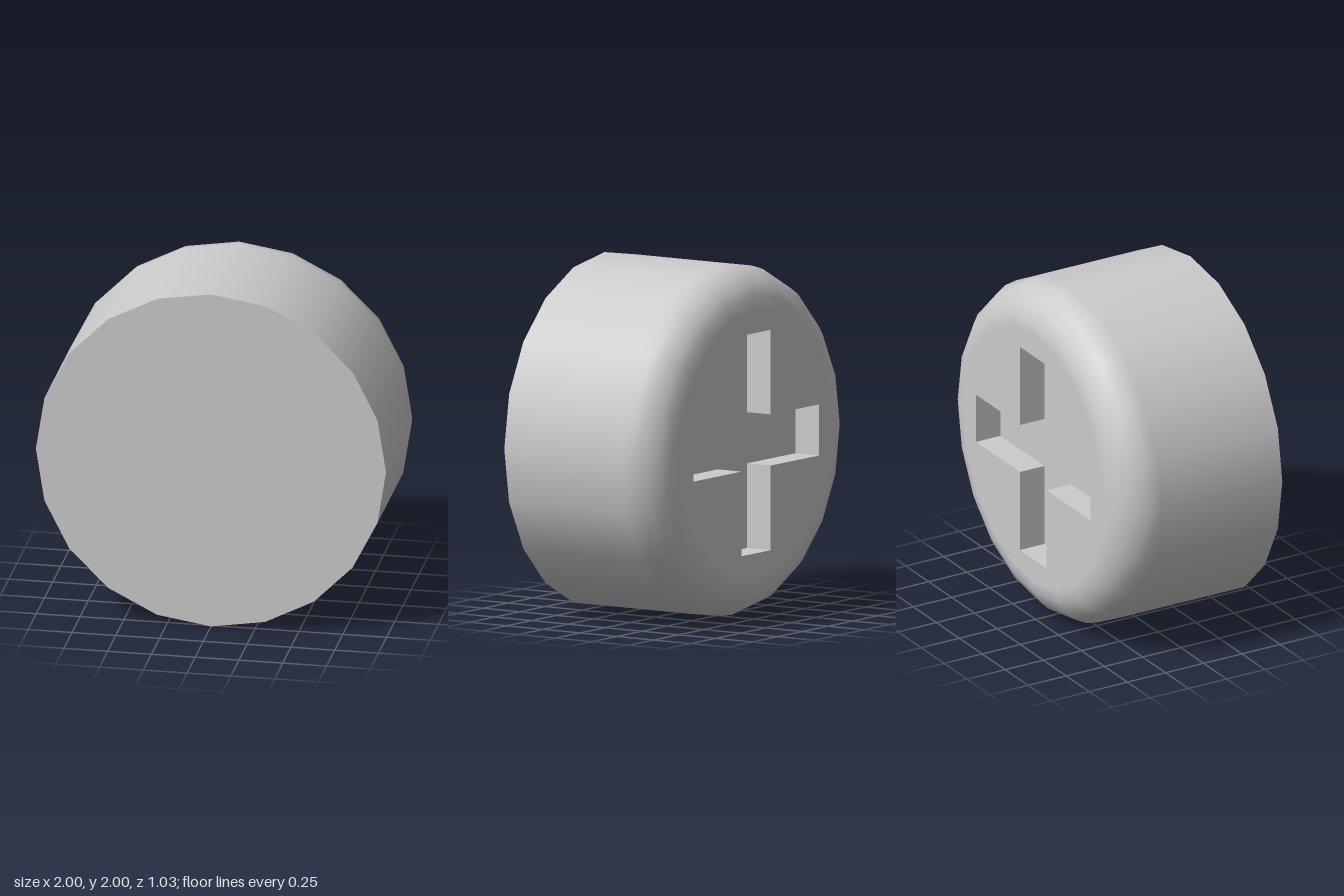
import * as THREE from 'three';

const SIDES = 20;
const FRONT = 0.515, BACK = -0.515; // z of the two end faces
const BEVEL = 0.24;                 // rounding radius of the back rim
const SLOT = { half: 0.625, width: 0.145, depth: 0.16 };

// Corners of the cross, counter-clockwise
function crossPoints() {
  const { half: a, width: w } = SLOT;
  return [
    [w, w], [w, a], [-w, a], [-w, w], [-a, w], [-a, -w],
    [-w, -w], [-w, -a], [w, -a], [w, -w], [a, -w], [a, w],
  ].map(([x, y]) => new THREE.Vector2(x, y));
}

export function createModel() {
  const group = new THREE.Group();
  group.name = 'screwHead';
  const material = new THREE.MeshStandardMaterial({ color: 0xcccccc });
  const add = (name, geometry) => {
    const mesh = new THREE.Mesh(geometry, material);
    mesh.name = name;
    mesh.position.y = 1;
    group.add(mesh);
  };

  // Side wall with rounded back rim, turned so its axis runs towards -z
  const profile = [new THREE.Vector2(1, -FRONT)];
  for (let i = 0; i <= 5; i++) {
    const t = (i / 5) * Math.PI / 2;
    profile.push(new THREE.Vector2(
      1 - BEVEL + BEVEL * Math.cos(t), -BACK - BEVEL + BEVEL * Math.sin(t)));
  }
  const wall = new THREE.LatheGeometry(profile, SIDES);
  // Make the rim blend exactly into the flat back face
  const normals = wall.attributes.normal;
  for (let i = profile.length - 1; i < normals.count; i += profile.length) normals.setXYZ(i, 0, 1, 0);
  add('sideWall', wall.rotateX(-Math.PI / 2));

  // Flat front end
  add('frontFace', new THREE.CircleGeometry(1, SIDES).translate(0, 0, FRONT));

  // Flat back end with the cross cut out
  const rim = [];
  for (let i = 0; i < SIDES; i++) {
    const t = (i / SIDES) * Math.PI * 2;
    rim.push(new THREE.Vector2(Math.cos(t), Math.sin(t)).multiplyScalar(1 - BEVEL));
  }
  const cross = crossPoints();
  const face = new THREE.Shape(rim);
  face.holes.push(new THREE.Path(cross));
  add('backFace', new THREE.ShapeGeometry(face).rotateY(Math.PI).translate(0, 0, BACK));

  // Floor of the cross slot
  const floorZ = BACK + SLOT.depth;
  add('slotFloor', new THREE.ShapeGeometry(new THREE.Shape(cross)).rotateY(Math.PI).translate(0, 0, floorZ));

  // Inward-facing walls of the slot, one quad per cross edge
  const positions = [];
  cross.forEach((a, i) => {
    const b = cross[(i + 1) % cross.length];
    positions.push(
      a.x, a.y, BACK, a.x, a.y, floorZ, b.x, b.y, BACK,
      b.x, b.y, BACK, a.x, a.y, floorZ, b.x, b.y, floorZ);
  });
  const slotWalls = new THREE.BufferGeometry();
  slotWalls.setAttribute('position', new THREE.Float32BufferAttribute(positions, 3));
  slotWalls.computeVertexNormals();
  add('slotWalls', slotWalls);

  return group;
}
